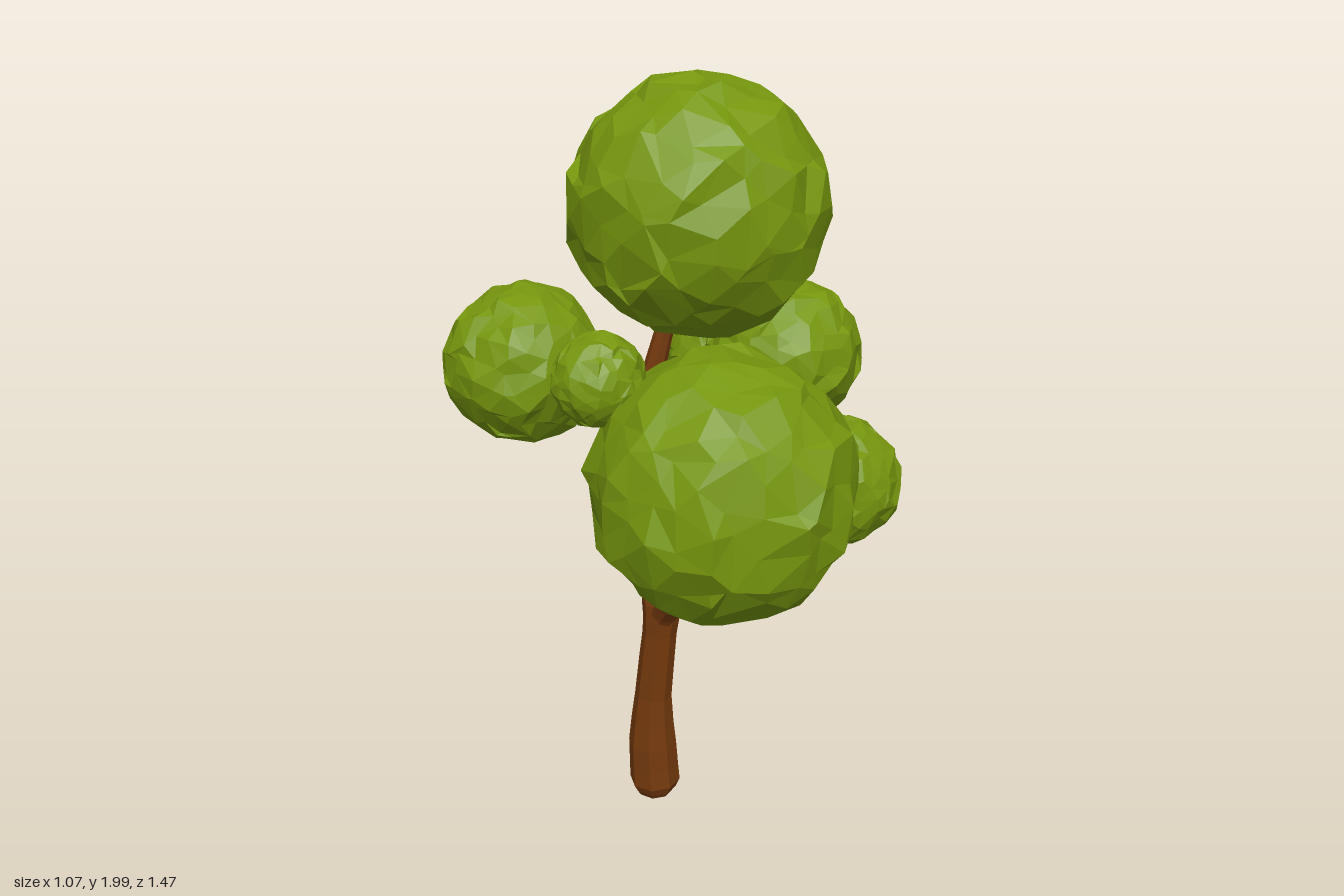
import * as THREE from 'three';
import { mergeVertices } from 'three/addons/utils/BufferGeometryUtils.js';

const leaf = new THREE.MeshStandardMaterial({ color: 0x76960e, flatShading: true });
leaf.name = 'leaf green';
const bark = new THREE.MeshStandardMaterial({ color: 0x753a0e, flatShading: true });
bark.name = 'bark brown';

// Small seeded random generator
function seeded(seed) {
  let s = seed * 7919 + 17;
  return () => {
    s = (s * 16807) % 2147483647;
    return s / 2147483647;
  };
}

// Faceted ball with every vertex nudged for a ragged leafy surface
function foliage(name, x, y, z, r, seed) {
  let geo = new THREE.IcosahedronGeometry(1, 4);
  geo.deleteAttribute('uv');
  geo.deleteAttribute('normal');
  geo = mergeVertices(geo, 1e-3);
  const rand = seeded(seed);
  const pos = geo.attributes.position;
  const v = new THREE.Vector3();
  for (let i = 0; i < 20; i++) rand();
  for (let i = 0; i < pos.count; i++) {
    v.fromBufferAttribute(pos, i);
    v.x += (rand() - 0.5) * 0.2;
    v.y += (rand() - 0.5) * 0.2;
    v.z += (rand() - 0.5) * 0.2;
    v.setLength(0.93 + 0.09 * rand());
    pos.setXYZ(i, v.x, v.y, v.z);
  }
  geo.scale(r, r, r);
  geo.computeVertexNormals();
  const mesh = new THREE.Mesh(geo, leaf);
  mesh.name = name;
  mesh.position.set(x, y, z);
  return mesh;
}

// Tapered limb through points [x, y, z, radius]
function limb(name, pts, sides = 8) {
  const curve = new THREE.CatmullRomCurve3(pts.map(p => new THREE.Vector3(p[0], p[1], p[2])));
  // Space the rings evenly between the control points
  curve.getPointAt = (t, target) => curve.getPoint(t, target);
  curve.getTangentAt = (t, target) => curve.getTangent(t, target);
  const spans = pts.length - 1;
  const rings = spans * 2;
  const geo = new THREE.TubeGeometry(curve, rings, 1, sides);
  const pos = geo.attributes.position;
  const v = new THREE.Vector3();
  for (let i = 0; i <= rings; i++) {
    const c = curve.getPoint(i / rings);
    const f = (i / rings) * spans;
    const k = Math.min(Math.floor(f), spans - 1);
    const r = THREE.MathUtils.lerp(pts[k][3], pts[k + 1][3], f - k);
    for (let j = 0; j <= sides; j++) {
      const n = i * (sides + 1) + j;
      v.fromBufferAttribute(pos, n).sub(c).multiplyScalar(r).add(c);
      pos.setXYZ(n, v.x, v.y, v.z);
    }
  }
  geo.computeVertexNormals();
  const mesh = new THREE.Mesh(geo, bark);
  mesh.name = name;
  return mesh;
}

export function createModel() {
  const tree = new THREE.Group();
  tree.name = 'tree';

  // Trunk and branches
  const wood = new THREE.Group();
  wood.name = 'wood';
  wood.add(
    limb('trunk', [
      [-0.1, 0.01, 0.025, 0.001], [-0.1, 0.014, 0.025, 0.048], [-0.1, 0.055, 0.025, 0.07],
      [-0.105, 0.18, 0.028, 0.066], [-0.1, 0.34, 0.035, 0.05], [-0.08, 0.54, 0.042, 0.046],
      [-0.075, 0.63, 0.04, 0.052], [-0.1, 0.75, 0.01, 0.036], [-0.115, 0.88, -0.015, 0.04],
      [-0.13, 1.0, -0.005, 0.032], [-0.115, 1.16, 0.015, 0.034], [-0.07, 1.36, 0.015, 0.024],
      [-0.01, 1.55, 0.01, 0.015],
    ]),
    limb('frontBranch', [
      [-0.08, 0.57, 0.045, 0.036], [-0.045, 0.65, 0.08, 0.042], [0.045, 0.725, 0.19, 0.033],
      [0.145, 0.87, 0.285, 0.029], [0.17, 1.02, 0.36, 0.018],
    ]),
    limb('rearBranch', [
      [-0.115, 0.82, -0.005, 0.028], [-0.09, 0.88, -0.06, 0.038], [-0.03, 0.94, -0.23, 0.026],
      [0.05, 1.03, -0.45, 0.024], [0.0, 1.1, -0.57, 0.014],
    ]),
    limb('rearTwig', [[0.035, 1.01, -0.42, 0.02], [0.09, 1.07, -0.42, 0.02], [0.17, 1.16, -0.35, 0.012]]),
    limb('sideBranch', [
      [-0.125, 1.08, 0.005, 0.024], [-0.135, 1.16, 0.04, 0.032], [-0.23, 1.23, 0.14, 0.023],
      [-0.32, 1.34, 0.26, 0.014],
    ]),
  );
  tree.add(wood);

  // Leaf balls: x, y, z, radius
  const balls = {
    crownFoliage: [0.015, 1.685, 0.0, 0.32],
    frontFoliage: [0.125, 1.155, 0.415, 0.318],
    rightFoliage: [-0.35, 1.383, 0.295, 0.187],
    rightSmallFoliage: [-0.155, 1.39, 0.41, 0.11],
    leftFoliage: [0.37, 1.07, 0.168, 0.163],
    rearFoliage: [0.207, 1.22, -0.3, 0.211],
    rearSmallFoliage: [-0.012, 1.14, -0.588, 0.151],
  };
  Object.entries(balls).forEach(([name, b], i) => tree.add(foliage(name, ...b, i + 3)));

  return tree;
}
